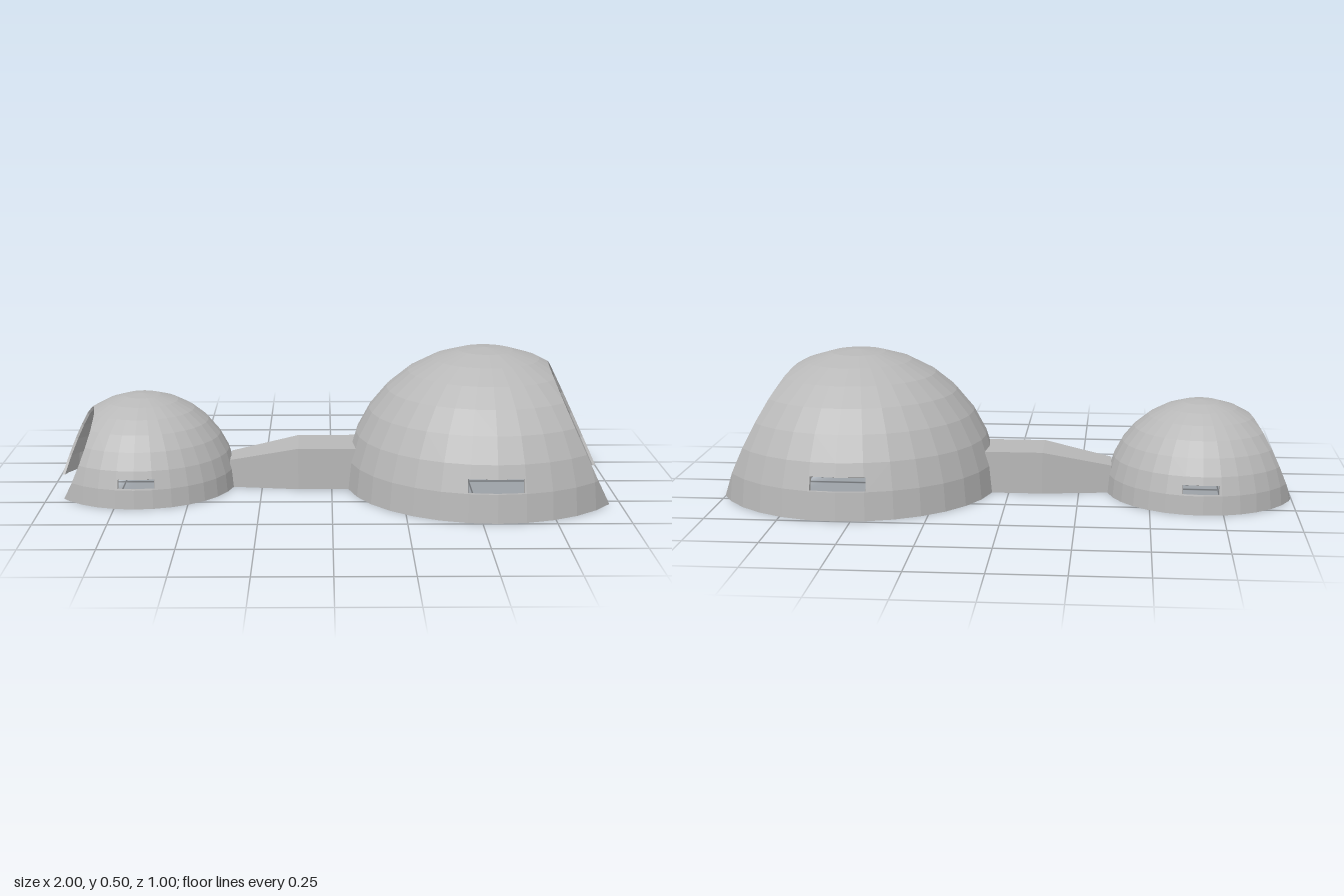
import * as THREE from 'three';

const V = (x, y, z) => new THREE.Vector3(x, y, z);
const plane = (x, y, z, d) => ({ n: V(x, y, z), d }); // keeps n·p >= d

// flat-shaded geometry from a list of convex polygons
function polyGeometry(polys) {
  const pos = [];
  for (const p of polys)
    for (let i = 1; i + 1 < p.length; i++)
      for (const v of [p[0], p[i], p[i + 1]]) pos.push(v.x, v.y, v.z);
  const g = new THREE.BufferGeometry();
  g.setAttribute('position', new THREE.Float32BufferAttribute(pos, 3));
  g.computeVertexNormals();
  return g;
}

// the part of a convex polygon on one side of a plane
function clip(poly, pl, sign) {
  const out = [];
  poly.forEach((a, i) => {
    const b = poly[(i + 1) % poly.length];
    const da = sign * (a.dot(pl.n) - pl.d), db = sign * (b.dot(pl.n) - pl.d);
    if (da >= 0) out.push(a);
    if ((da > 1e-9 && db < -1e-9) || (da < -1e-9 && db > 1e-9)) out.push(a.clone().lerp(b, da / (da - db)));
  });
  return out.length > 2 ? out : null;
}

// hollow faceted half sphere with convex regions cut out of its wall
function domeGeometry(R, thickness, cuts) {
  const rings = 8, sides = 32, k = (R - thickness) / R;
  const at = (i, j) => {
    const t = (i / rings) * Math.PI / 2, a = (j / sides) * Math.PI * 2;
    return V(R * Math.sin(t) * Math.cos(a), R * Math.cos(t), -R * Math.sin(t) * Math.sin(a));
  };
  let shell = [];
  for (let i = 0; i < rings; i++)
    for (let j = 0; j < sides; j++)
      shell.push(i ? [at(i, j), at(i + 1, j), at(i + 1, j + 1), at(i, j + 1)]
        : [at(0, 0), at(1, j), at(1, j + 1)]);

  const walls = [];
  const addWall = (a, b) => walls.push([b, a, a.clone().multiplyScalar(k), b.clone().multiplyScalar(k)]);
  for (const cut of cuts) {
    const kept = [];
    for (const poly of shell) {
      let rest = poly;
      const pieces = [];
      for (const pl of cut) {
        const outside = clip(rest, pl, -1);
        if (outside) pieces.push(outside);
        rest = clip(rest, pl, 1);
        if (!rest) break;
      }
      if (!rest) { kept.push(poly); continue; }
      kept.push(...pieces);
      // edges of the removed piece become the reveal of the opening
      rest.forEach((a, i) => {
        const b = rest[(i + 1) % rest.length];
        if (cut.some(pl => Math.abs(a.dot(pl.n) - pl.d) < 1e-6 && Math.abs(b.dot(pl.n) - pl.d) < 1e-6)) addWall(b, a);
      });
    }
    shell = kept;
  }
  // bottom edge of the wall
  for (const p of shell)
    p.forEach((a, i) => {
      const b = p[(i + 1) % p.length];
      if (Math.abs(a.y) < 1e-6 && Math.abs(b.y) < 1e-6) addWall(a, b);
    });
  const inner = shell.map(p => p.map(v => v.clone().multiplyScalar(k)).reverse());
  return polyGeometry([...shell, ...inner, ...walls]);
}

// pair of slots on the front and back of a dome
const windows = (x0, x1, y0, y1) => [1, -1].map(s => [
  plane(1, 0, 0, x0), plane(-1, 0, 0, -x1), plane(0, 1, 0, y0), plane(0, -1, 0, -y1), plane(0, 0, s, 0.1)]);

// doorway towards the passage, on side s
const doorway = (s, halfWidth, height) => [
  plane(s, 0, 0, 0.05), plane(0, 0, 1, -halfWidth), plane(0, 0, -1, -halfWidth), plane(0, -1, 0, -height)];

// hollow rectangular passage through [x, halfWidth, height] stations
function passageGeometry(stations, t) {
  const ring = ([x, w, h], o) => [V(x, o, w - o), V(x, o, o - w), V(x, h - o, o - w), V(x, h - o, w - o)];
  const polys = [];
  const last = stations.length - 1;
  for (let s = 0; s < last; s++)
    for (const o of [0, t]) {
      const a = ring(stations[s], o), b = ring(stations[s + 1], o);
      for (let i = 0; i < 4; i++) {
        const j = (i + 1) % 4, q = [a[i], a[j], b[j], b[i]];
        polys.push(o ? q.reverse() : q);
      }
    }
  for (const s of [0, last]) {
    const a = ring(stations[s], 0), b = ring(stations[s], t);
    for (let i = 0; i < 4; i++) {
      const j = (i + 1) % 4, q = [a[i], b[i], b[j], a[j]];
      polys.push(s ? q.reverse() : q);
    }
  }
  return polyGeometry(polys);
}

export function createModel() {
  const model = new THREE.Group();
  const grey = new THREE.MeshStandardMaterial({ color: 0xb8b8b8, flatShading: true, side: THREE.DoubleSide });
  grey.name = 'plain grey';
  const add = (name, geometry, x = 0) => {
    const m = new THREE.Mesh(geometry, grey);
    m.name = name;
    m.position.x = x;
    model.add(m);
  };

  // large dome: slanted round entrance, two windows, doorway
  add('largeDome', domeGeometry(0.5, 0.012, [
    [plane(1, 0.473, 0.0816, 0.4349)],
    ...windows(-0.1, 0.09, 0.1, 0.145),
    doorway(-1, 0.09, 0.14),
  ]), 0.55);

  // small dome, entrance on the opposite side
  add('smallDome', domeGeometry(0.334, 0.01, [
    [plane(-1, 0.432, 0.187, 0.2993)],
    ...windows(-0.055, 0.07, 0.07, 0.1),
    doorway(1, 0.055, 0.09),
  ]), -0.68);

  // passage joining the domes
  add('passage', passageGeometry([[-0.365, 0.065, 0.1], [-0.12, 0.098, 0.15], [0.085, 0.098, 0.15]], 0.01));
  return model;
}
